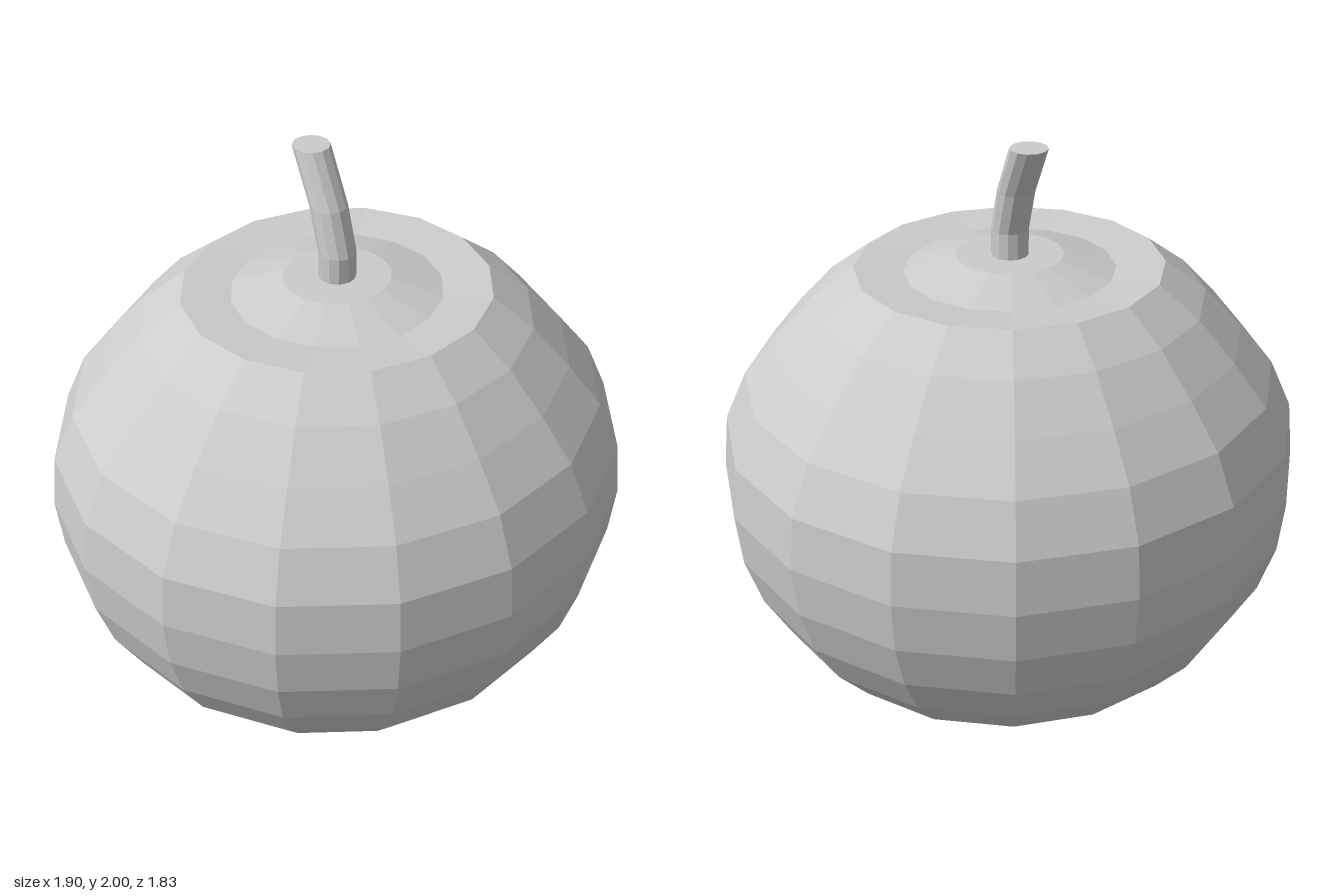
import * as THREE from 'three';

export function createModel() {
  const group = new THREE.Group();
  const material = new THREE.MeshStandardMaterial({ color: 0xcccccc, flatShading: true });

  // Round body: lower half follows an ellipse, upper half tapers to a rim with a low mound inside
  const profile = [];
  for (let i = 0; i <= 8; i++) {
    const a = (i / 16) * Math.PI;
    profile.push(new THREE.Vector2(0.95 * Math.sin(a), 0.875 * (1 - Math.cos(a))));
  }
  const upper = [
    [0.932, 1.05], [0.86, 1.21], [0.75, 1.345], [0.628, 1.475],
    [0.495, 1.575], [0.338, 1.561], [0.172, 1.61], [0, 1.61],
  ];
  profile.push(...upper.map(([r, y]) => new THREE.Vector2(r, y)));
  const bodyGeometry = new THREE.LatheGeometry(profile, 16);
  bodyGeometry.scale(1, 1, 0.963);
  const body = new THREE.Mesh(bodyGeometry, material);
  body.name = 'body';
  group.add(body);

  // Bent stem: each level of a cylinder is slid to its own height and depth
  const levels = [[1.58, 0], [1.695, 0], [1.835, -0.046], [2, -0.137]]; // [y, z]
  const stemGeometry = new THREE.CylinderGeometry(0.059, 0.059, 1, 12, 3);
  const position = stemGeometry.attributes.position;
  for (let i = 0; i < position.count; i++) {
    const [y, z] = levels[Math.round((position.getY(i) + 0.5) * 3)];
    position.setY(i, y);
    position.setZ(i, position.getZ(i) + z);
  }
  stemGeometry.computeVertexNormals();
  const stem = new THREE.Mesh(stemGeometry, material);
  stem.name = 'stem';
  group.add(stem);

  return group;
}
